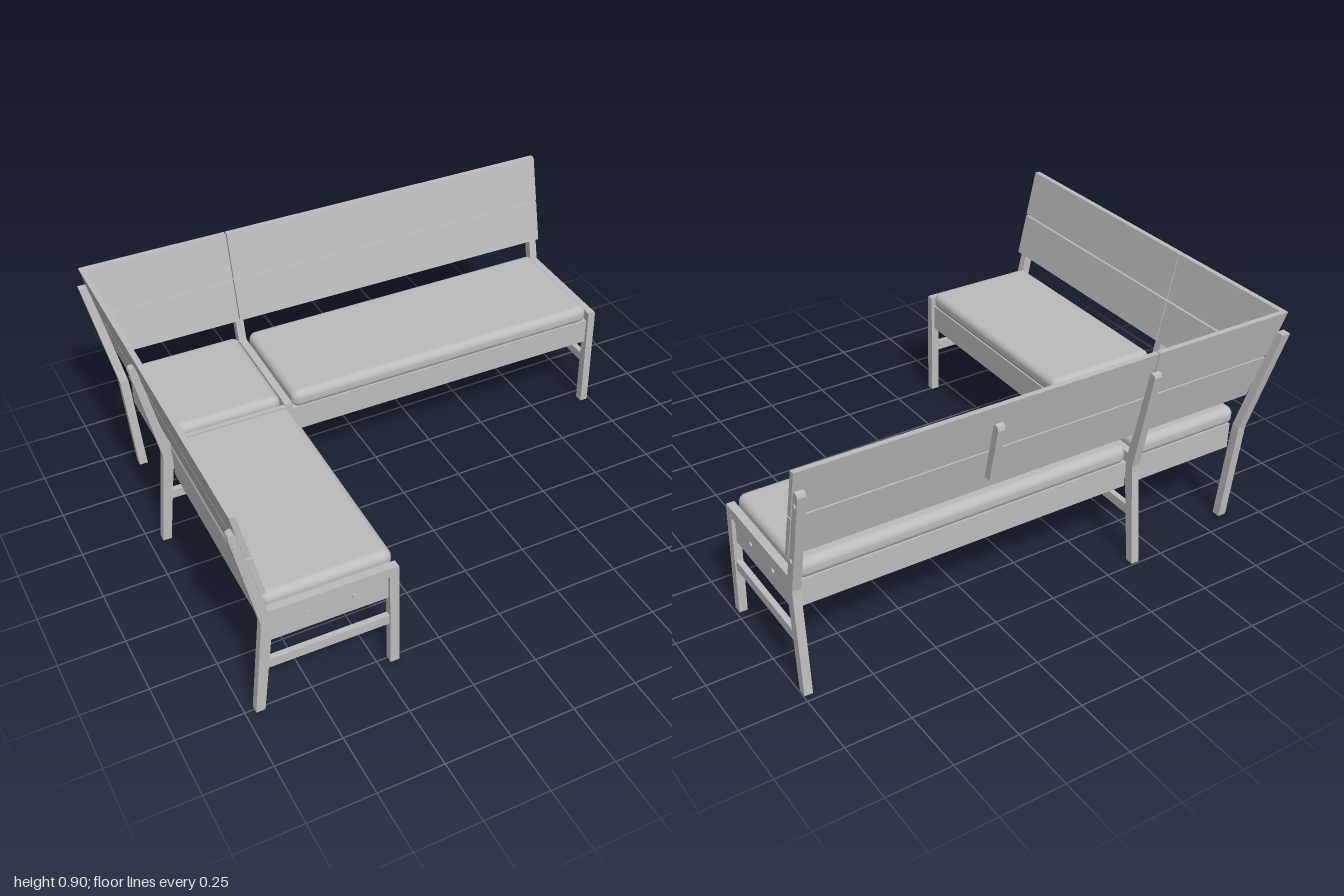
import * as THREE from 'three';
import { RoundedBoxGeometry } from 'three/addons/geometries/RoundedBoxGeometry.js';

const grey = new THREE.MeshStandardMaterial({ color: 0xbcbcbc });
grey.name = 'grey';

// Outer top corner of the backrest, where both wings meet
const CX = -0.985, CZ = -0.77;

// Side profiles as [depth from the back, height]
const lean = (y) => 0.022 + (0.905 - y) * 0.217; // front face of the backrest
const boardProfile = (y0, y1) => [
  [lean(y0), y0], [lean(y1), y1], [lean(y1) - 0.021, y1], [lean(y0) - 0.021, y0],
];
const backLegProfile = [
  [0.032, 0], [0.066, 0], [0.113, 0.38], [0.111, 0.42], [0.02, 0.82],
  [0.012, 0.83], [-0.004, 0.826], [-0.008, 0.815], [0.074, 0.41], [0.073, 0.38],
];
const pegProfile = [
  [0.066, 0.6], [0.018, 0.825], [0.01, 0.835], [-0.005, 0.83], [-0.008, 0.815], [0.036, 0.6],
];

function add(parent, name, geometry, x = 0, y = 0, z = 0) {
  const mesh = new THREE.Mesh(geometry, grey);
  mesh.name = name;
  mesh.position.set(x, y, z);
  parent.add(mesh);
  return mesh;
}

// One wing: z runs along the wing from the corner, side * x is depth towards the sitter
function makeWing(name, side, length, seam) {
  const wing = new THREE.Group();
  wing.name = name;

  const box = (part, s0, s1, y0, y1, d0, d1) =>
    add(wing, part, new THREE.BoxGeometry(d1 - d0, y1 - y0, s1 - s0),
      side * (d0 + d1) / 2, (y0 + y1) / 2, (s0 + s1) / 2);

  const extrude = (part, profile, s0, s1, mitre = false) => {
    const shape = new THREE.Shape(profile.map(([d, y]) => new THREE.Vector2(side * d, y)));
    const geo = new THREE.ExtrudeGeometry(shape, { depth: s1 - s0, bevelEnabled: false });
    const p = geo.attributes.position;
    for (let i = 0; i < p.count; i++) {
      const start = p.getZ(i) < 1e-6;
      p.setZ(i, start && mitre ? Math.abs(p.getX(i)) : p.getZ(i) + s0);
    }
    geo.computeVertexNormals();
    return add(wing, part, geo);
  };

  const bolt = (part, d, y, s) => {
    const geo = new THREE.CylinderGeometry(0.009, 0.009, 0.008, 14).rotateX(Math.PI / 2);
    add(wing, part, geo, side * d, y, s);
  };

  // Backrest: two boards high, split at the seam, mitred in the corner
  for (const [y0, y1] of [[0.545, 0.712], [0.719, 0.905]]) {
    extrude('cornerBackBoard', boardProfile(y0, y1), 0, seam - 0.002, true);
    extrude('backBoard', boardProfile(y0, y1), seam + 0.002, length);
  }

  // Side frames: bent back leg, front leg, seat rail and stretcher
  const frames = [seam - 0.012, length - 0.036];
  for (const s of frames) {
    extrude('backLeg', backLegProfile, s, s + 0.032);
    box('frontLeg', s, s + 0.032, 0, 0.45, 0.54, 0.575);
    box('seatRail', s + 0.001, s + 0.031, 0.412, 0.453, 0.085, 0.573);
    box('stretcher', s + 0.005, s + 0.027, 0.19, 0.228, 0.07, 0.55);
  }

  // Seat base and cushion between the frames
  const a = frames[0] + 0.032, b = frames[1];
  box('seatBase', a, b + 0.018, 0.307, 0.412, 0.11, 0.562);
  add(wing, 'seatCushion', new RoundedBoxGeometry(0.475, 0.073, b - a - 0.012, 4, 0.03),
    side * 0.336, 0.449, (a + b) / 2);

  // Bolts on the end panel and the end back leg
  for (const d of [0.245, 0.415]) bolt('panelBolt', d, 0.375, b + 0.02);
  bolt('legBolt', 0.066, 0.535, b + 0.033);
  bolt('legBolt', 0.014, 0.775, b + 0.033);

  return { wing, extrude };
}

export function createModel() {
  const root = new THREE.Group();
  root.name = 'cornerBench';
  const bench = new THREE.Group();
  bench.name = 'bench';
  bench.rotation.y = -0.015; // the bench stands very slightly turned
  root.add(bench);

  // Long wing along the back, with a support peg halfway
  const long = makeWing('longWing', -1, 1.975, 0.587);
  long.extrude('backPeg', pegProfile, 1.22, 1.25);
  long.wing.rotation.y = Math.PI / 2;

  // Short wing towards the front
  const short = makeWing('shortWing', 1, 1.555, 0.583);
  for (const { wing } of [long, short]) {
    wing.position.set(CX, 0, CZ);
    bench.add(wing);
  }

  // Corner seat
  const corner = new THREE.Group();
  corner.name = 'cornerSeat';
  corner.position.set(CX, 0, CZ);
  bench.add(corner);
  add(corner, 'cornerBase', new THREE.BoxGeometry(0.46, 0.105, 0.46), 0.343, 0.36, 0.343);
  add(corner, 'cornerCushion', new RoundedBoxGeometry(0.465, 0.073, 0.465, 4, 0.03), 0.335, 0.449, 0.335);

  // Corner leg: a square post bent along the diagonal, following the mitre
  const post = new THREE.BoxGeometry(0.034, 0.82, 0.034, 1, 2, 1).translate(0, 0.41, 0);
  const p = post.attributes.position;
  for (let i = 0; i < p.count; i++) {
    const y = p.getY(i);
    const d = y < 0.1 ? 0.113 : y < 0.6 ? 0.088 : 0.006;
    p.setXYZ(i, p.getX(i) + d, y, p.getZ(i) + d);
  }
  const flatPost = post.toNonIndexed();
  flatPost.computeVertexNormals();
  add(corner, 'cornerLeg', flatPost);

  return root;
}
